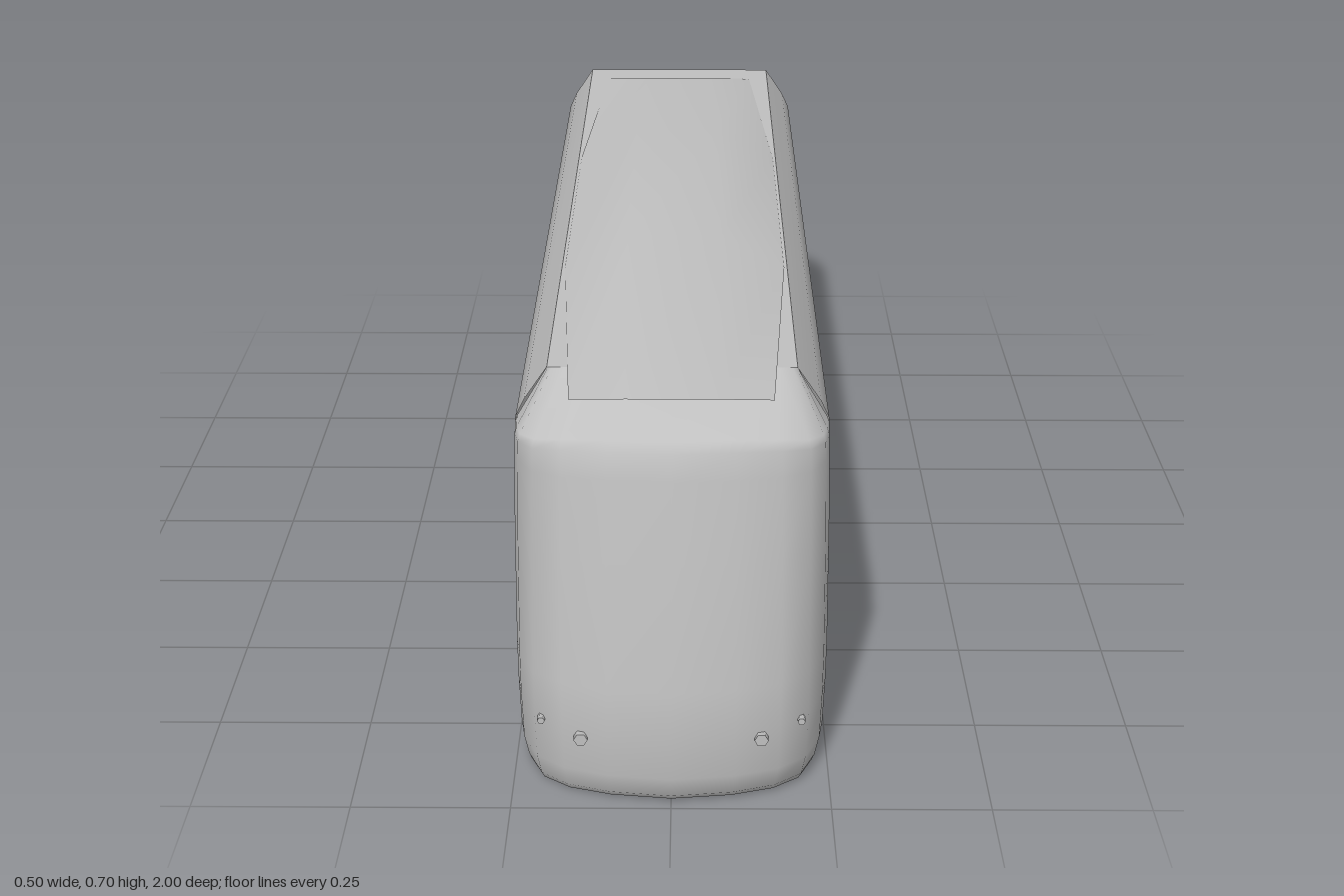
import * as THREE from 'three';

const shell = new THREE.MeshStandardMaterial({ color: 0xc0c0c0, side: THREE.DoubleSide });
shell.name = 'light grey shell';

// Smooth skin through rows of [x, y, z] points
function loft(rows) {
  const n = rows[0].length, index = [];
  for (let r = 0; r < rows.length - 1; r++) {
    for (let c = 0; c < n - 1; c++) {
      const a = r * n + c, b = a + 1, d = a + n, e = d + 1;
      index.push(a, b, e, a, e, d);
    }
  }
  const g = new THREE.BufferGeometry();
  g.setAttribute('position', new THREE.Float32BufferAttribute(rows.flat(2), 3));
  g.setIndex(index);
  g.computeVertexNormals();
  return g;
}

export function createModel() {
  const model = new THREE.Group();
  const add = (name, geometry) => {
    const mesh = new THREE.Mesh(geometry, shell);
    mesh.name = name;
    model.add(mesh);
    return mesh;
  };
  const back = -1, seam = 0.75;

  // Long body, open at the rear: curved sides, flat roof and floor
  const side = [[0.235, 0], [0.246, 0.05], [0.25, 0.2], [0.249, 0.4], [0.246, 0.555], [0.232, 0.585], [0.195, 0.64]];
  for (const s of [1, -1]) {
    const ends = [seam, back].map(z => side.map(([x, y]) => [s * x, y, z]));
    add(s > 0 ? 'leftSide' : 'rightSide', loft(s > 0 ? ends.reverse() : ends));
  }
  add('roof', loft([[[-0.195, 0.64, back], [0.195, 0.64, back]], [[-0.195, 0.64, seam], [0.195, 0.64, seam]]].reverse()));
  add('floor', loft([[[-0.235, 0, back], [0.235, 0, back]], [[-0.235, 0, seam], [0.235, 0, seam]]]));

  // Rounded nose: plan curve as [fraction of width, fraction of depth]
  const half = [[1, 0], [0.99, 0.28], [0.96, 0.48], [0.86, 0.72], [0.68, 0.86], [0.4, 0.95]];
  const plan = [...half.map(([x, z]) => [-x, z]), [0, 1], ...half.slice().reverse()];
  // Each row: height, half width, front z, drop at the corners
  const levels = [
    [0, 0.235, 0.972, 0], [0.015, 0.239, 0.988, 0], [0.05, 0.246, 0.997, 0], [0.13, 0.249, 1, 0],
    [0.2, 0.25, 0.994, 0], [0.4, 0.249, 0.96, 0], [0.53, 0.247, 0.937, 0.01],
    [0.573, 0.246, 0.929, 0.025], [0.588, 0.243, 0.918, 0.03]
  ];
  const rows = levels.map(([y, w, front, drop]) =>
    plan.map(([x, z]) => [x * w, y - drop * x ** 4, seam + (front - seam) * z]));
  rows.push(plan.map(([x]) => [x * 0.195, 0.64, seam]));
  add('nose', loft(rows));

  // Flat underside of the nose
  const rim = rows[0];
  add('noseFloor', loft([rim.map(([x]) => [x, 0, seam]), rim.map(p => [...p])]));

  // Raised roof fairing with sloping ends and sides
  const fairing = [[0.88, 0.155, 0.07, 0.642], [0.3, 0.19, 0.08, 0.7], [-0.33, 0.19, 0.08, 0.7], [-0.92, 0.155, 0.07, 0.642]];
  add('roofFairing', loft(fairing.map(([z, base, top, y]) =>
    [[-base, 0.641, z], [-top, y, z], [top, y, z], [base, 0.641, z]])));

  // Small hexagonal lamps low on the nose
  for (const s of [1, -1]) {
    for (const [x, y, z, r] of [[0.14, 0.113, 0.974, 0.011], [0.203, 0.127, 0.941, 0.006]]) {
      const lamp = add('noseLamp', new THREE.CylinderGeometry(r, r, 0.02, 6));
      lamp.rotation.set(Math.PI / 2, Math.PI / 6, 0);
      lamp.position.set(s * x, y, z);
    }
  }
  return model;
}
